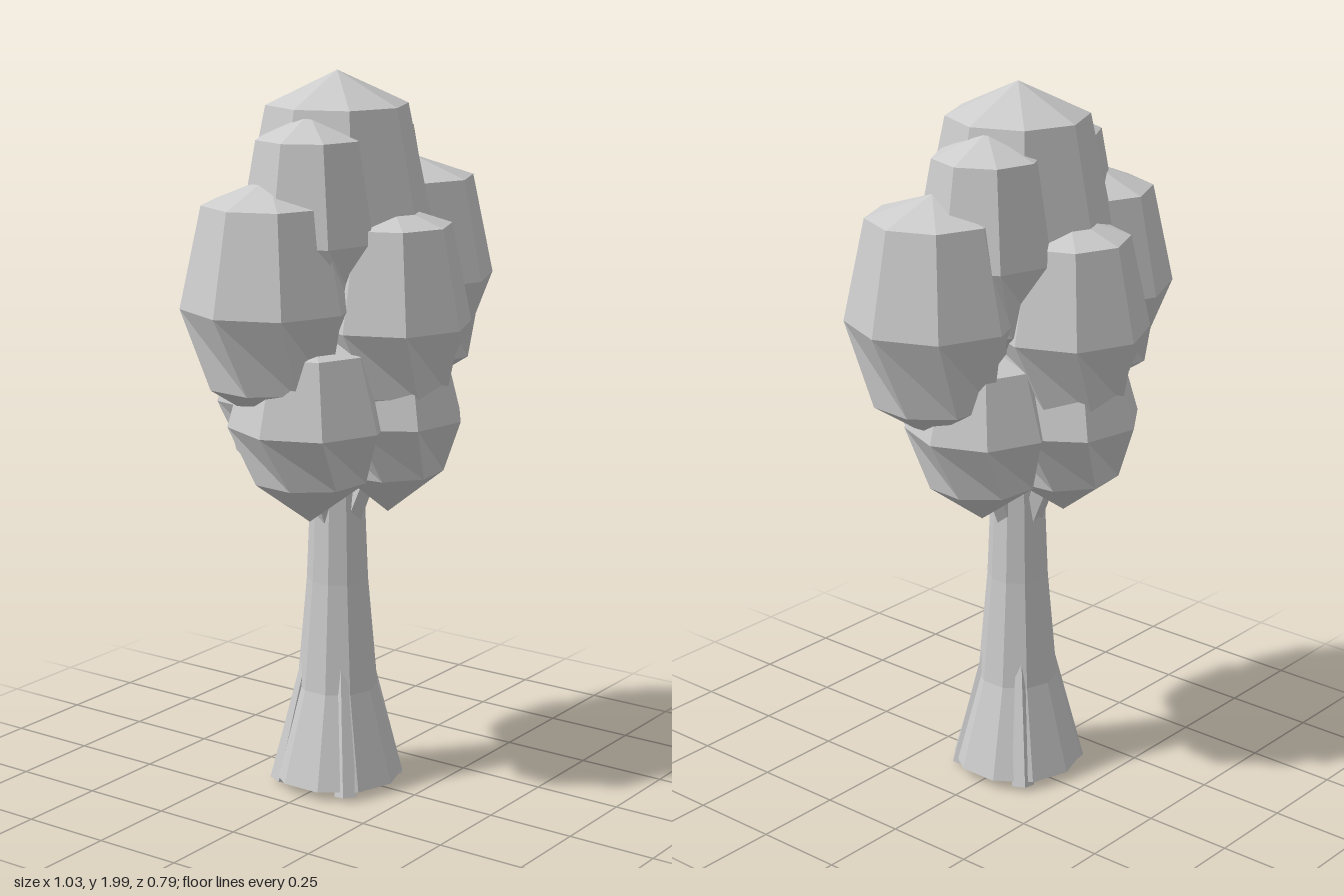
import * as THREE from 'three';

const CX = -0.02; // trunk axis
const material = new THREE.MeshStandardMaterial({ color: 0xcccccc, flatShading: true });

function facetedLathe(profile, sides, name) {
  const geo = new THREE.LatheGeometry(profile.map(([r, y]) => new THREE.Vector2(r, y)), sides);
  const mesh = new THREE.Mesh(geo, material);
  mesh.name = name;
  return mesh;
}

// Eight-sided leaf clump: pointed ends, three rings, lowest ring twisted
function leafClump({ name, x, z, r, y, turn = 0 }) {
  const [bottom, low, mid, high, top] = y;
  const clump = facetedLathe(
    [[0, bottom], [r * 0.72, low], [r, mid], [r * 0.75, high], [0, top]], 8, name);
  const pos = clump.geometry.attributes.position;
  for (let i = 0; i < pos.count; i++) {
    if (Math.abs(pos.getY(i) - low) > 1e-4) continue;
    const a = Math.atan2(pos.getX(i), pos.getZ(i)) + 0.3;
    pos.setX(i, r * 0.72 * Math.sin(a));
    pos.setZ(i, r * 0.72 * Math.cos(a));
  }
  clump.geometry = clump.geometry.toNonIndexed();
  clump.geometry.computeVertexNormals();
  clump.position.set(x, 0, z);
  clump.rotation.y = turn;
  return clump;
}

// Tapered limb between two points
function limb(name, from, to, rFrom, rTo, sides = 5) {
  const a = new THREE.Vector3(...from), b = new THREE.Vector3(...to);
  const dir = b.clone().sub(a);
  const mesh = new THREE.Mesh(
    new THREE.CylinderGeometry(rTo, rFrom, dir.length(), sides), material);
  mesh.position.copy(a).add(b).multiplyScalar(0.5);
  mesh.quaternion.setFromUnitVectors(new THREE.Vector3(0, 1, 0), dir.normalize());
  mesh.name = name;
  return mesh;
}

export function createModel() {
  const tree = new THREE.Group();
  tree.name = 'tree';

  // Flared trunk
  const trunk = facetedLathe(
    [[0, 0.03], [0.183, 0.03], [0.112, 0.29], [0.085, 0.6], [0.075, 0.85], [0.07, 1.2], [0, 1.2]],
    10, 'trunk');
  trunk.position.x = CX;
  tree.add(trunk);

  // Four roots on the diagonals, four branches along the axes
  for (let i = 0; i < 4; i++) {
    const d = Math.PI / 4 + i * Math.PI / 2;
    const at = (angle, r, y) => [CX + r * Math.sin(angle), y, r * Math.cos(angle)];
    tree.add(limb('root', at(d, 0.158, 0.012), at(d, 0.078, 0.4), 0.034, 0.014));
    const b = i * Math.PI / 2;
    tree.add(limb('branch', at(b, 0.045, 0.78), at(b, 0.15, 1.02), 0.032, 0.028));
  }

  // Leaf clumps: y lists bottom tip, low ring, widest ring, high ring, top tip
  const clumps = [
    { name: 'crownTop', x: CX, z: 0, r: 0.257, y: [1.2, 1.37, 1.6, 1.91, 2] },
    { name: 'upperRight', x: -0.18, z: 0.025, r: 0.192, y: [1.25, 1.38, 1.57, 1.835, 1.9], turn: 0.1 },
    { name: 'upperLeft', x: 0.145, z: -0.035, r: 0.195, y: [1.25, 1.38, 1.57, 1.835, 1.9], turn: 0.1 },
    { name: 'middleFront', x: CX, z: 0.175, r: 0.22, y: [1.02, 1.16, 1.34, 1.605, 1.66] },
    { name: 'middleBack', x: CX, z: -0.175, r: 0.22, y: [1.04, 1.17, 1.36, 1.61, 1.67] },
    { name: 'middleLeft', x: 0.28, z: 0.035, r: 0.235, y: [1.08, 1.19, 1.415, 1.69, 1.75] },
    { name: 'middleRight', x: -0.28, z: -0.035, r: 0.235, y: [1.08, 1.19, 1.4, 1.67, 1.74] },
    { name: 'lowerFront', x: 0, z: 0.155, r: 0.21, y: [0.81, 0.93, 1.08, 1.28, 1.34], turn: 0.2 },
    { name: 'lowerBack', x: -0.03, z: -0.155, r: 0.21, y: [0.83, 0.94, 1.1, 1.28, 1.34], turn: 0.2 },
    { name: 'lowerLeft', x: 0.165, z: -0.03, r: 0.207, y: [0.83, 0.94, 1.1, 1.28, 1.34] },
    { name: 'lowerRight', x: -0.21, z: 0.045, r: 0.22, y: [0.81, 0.93, 1.08, 1.28, 1.34] },
  ];
  const crown = new THREE.Group();
  crown.name = 'crown';
  clumps.forEach((c) => crown.add(leafClump(c)));
  tree.add(crown);

  return tree;
}
